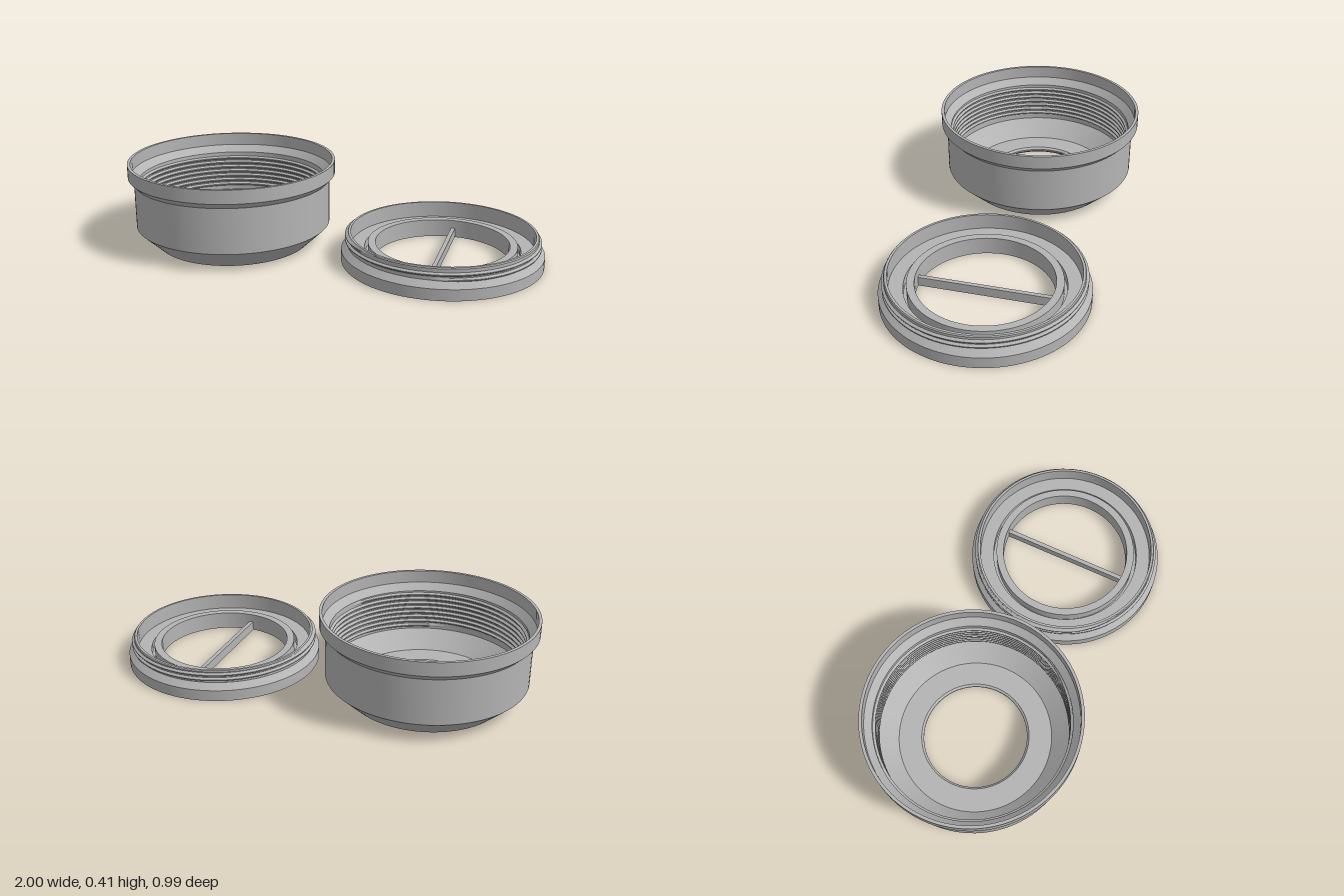
import * as THREE from 'three';
import { toCreasedNormals } from 'three/addons/utils/BufferGeometryUtils.js';

const SEGMENTS = 96;
const PITCH = 0.024;

// Solid ring: closed [radius, y] profile, counter-clockwise, turned about y
function turned(name, profile, material) {
  const points = [...profile, profile[0]].map(([r, y]) => new THREE.Vector2(r, y));
  const mesh = new THREE.Mesh(toCreasedNormals(new THREE.LatheGeometry(points, SEGMENTS), 0.3), material);
  mesh.name = name;
  return mesh;
}

// Helical ridge from y0 to y1; side is 1 for an outer thread, -1 for an inner one
function thread(name, root, crest, y0, y1, side, material) {
  const turns = (y1 - y0) / PITCH;
  const steps = Math.round(turns * SEGMENTS);
  const position = [], index = [];
  for (let i = 0; i <= steps; i++) {
    const t = i / steps, a = t * turns * Math.PI * 2;
    const fade = Math.min(1, Math.min(i, steps - i) / 8);
    const tip = root + (crest - root) * fade;
    const section = [[root, -0.01], [tip, -0.002], [tip, 0.002], [root, 0.01]];
    for (const [r, dy] of section) {
      position.push(r * Math.sin(a), y0 + (y1 - y0) * t + dy * side, r * Math.cos(a));
    }
    if (i === steps) continue;
    for (let j = 0; j < 3; j++) {
      const p = i * 4 + j, q = p + 4;
      index.push(p, q, p + 1, q + 1, p + 1, q);
    }
  }
  const geometry = new THREE.BufferGeometry();
  geometry.setAttribute('position', new THREE.Float32BufferAttribute(position, 3));
  geometry.setIndex(index);
  const mesh = new THREE.Mesh(toCreasedNormals(geometry, 0.3), material);
  mesh.name = name;
  return mesh;
}

export function createModel() {
  const grey = new THREE.MeshStandardMaterial({ color: 0xb4b4b4 });
  grey.name = 'plain grey';
  const model = new THREE.Group();
  model.name = 'threadedContainer';

  // Cup with open base, chamfered foot and flared collar
  const cup = new THREE.Group();
  cup.name = 'cup';
  cup.position.x = -0.505;
  cup.add(
    turned('cupBody', [
      [0.258, 0], [0.37, 0], [0.469, 0.095], [0.469, 0.312], [0.496, 0.34], [0.496, 0.405],
      [0.482, 0.405], [0.482, 0.345], [0.45, 0.312], [0.45, 0.108],
      [0.362, 0.03], [0.255, 0.03], [0.245, 0.02], [0.245, 0.013],
    ], grey),
    thread('cupThread', 0.451, 0.439, 0.125, 0.298, -1, grey),
  );

  // Ring lid with raised outer wall and grooved inner collar
  const lid = new THREE.Group();
  lid.name = 'lid';
  lid.position.x = 0.53;
  lid.add(
    turned('lidBody', [
      [0.31, 0], [0.345, 0], [0.345, 0.008], [0.352, 0.008], [0.352, 0],
      [0.469, 0], [0.469, 0.053], [0.44, 0.08], [0.44, 0.134], [0.436, 0.139],
      [0.425, 0.139], [0.425, 0.063], [0.36, 0.063], [0.36, 0.025],
      [0.345, 0.025], [0.345, 0.085], [0.31, 0.085],
    ], grey),
    thread('lidThread', 0.439, 0.451, 0.083, 0.129, 1, grey),
  );

  // Crossbar spanning the lid opening
  const bar = new THREE.Mesh(new THREE.BoxGeometry(0.02, 0.045, 0.63), grey);
  bar.name = 'crossbar';
  bar.position.y = 0.0225;
  lid.add(bar);

  model.add(cup, lid);
  return model;
}
